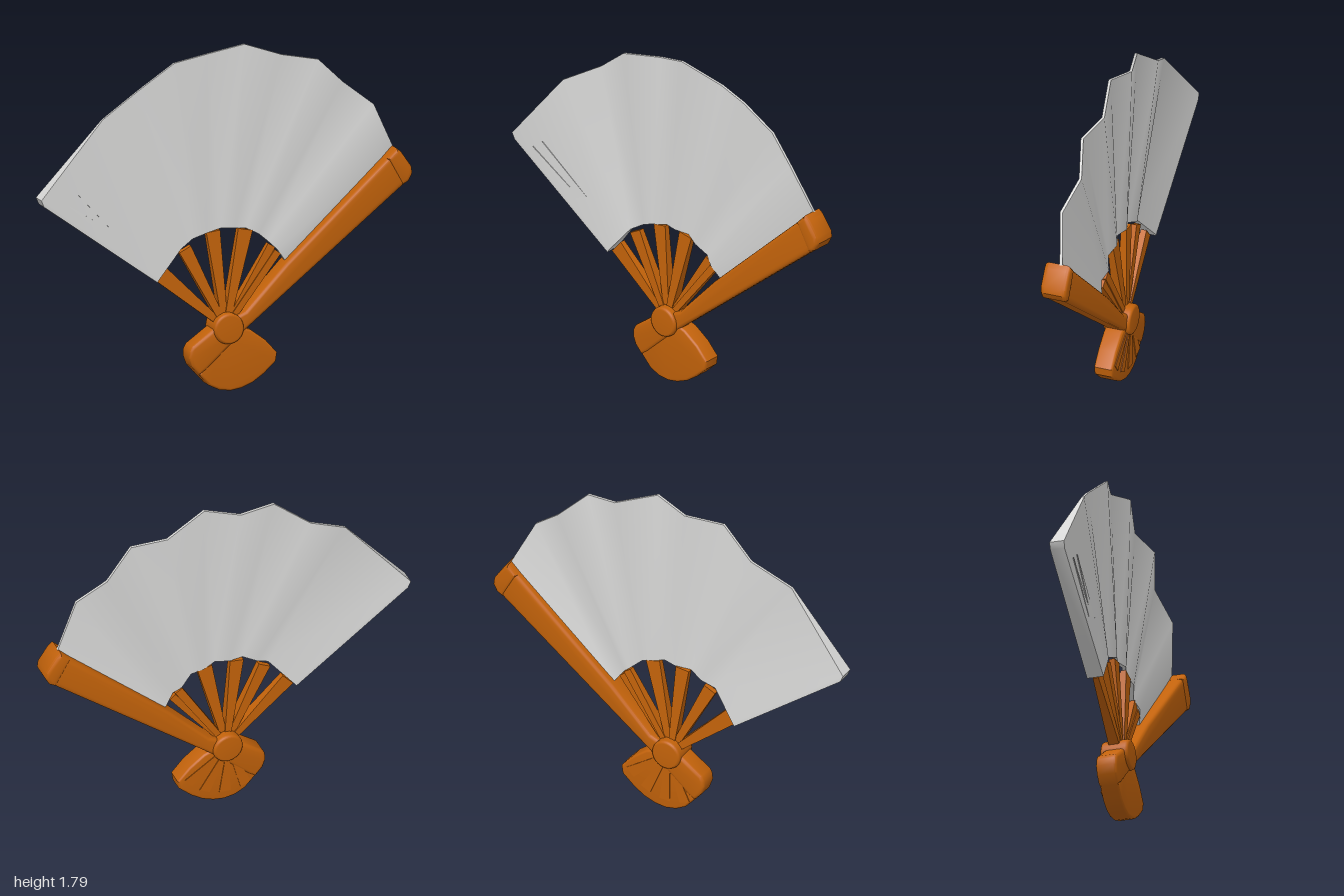
import * as THREE from 'three';
import { toCreasedNormals } from 'three/addons/utils/BufferGeometryUtils.js';

const wood = new THREE.MeshStandardMaterial({ color: 0xc2620a });
wood.name = 'orange brown wood';
const paper = new THREE.MeshStandardMaterial({ color: 0xd8d8d7, side: THREE.DoubleSide });
paper.name = 'pale grey paper';

const PIVOT_Y = 0.33;

function add(group, name, geometry, material) {
  const mesh = new THREE.Mesh(geometry, material);
  mesh.name = name;
  group.add(mesh);
  return mesh;
}

// Bevelled plate centred on z = 0, from an outline in the xy plane
function plate(points, half, bevel) {
  const shape = new THREE.Shape(points.map(([x, y]) => new THREE.Vector2(x, y)));
  const geometry = new THREE.ExtrudeGeometry(shape, {
    depth: 2 * (half - bevel), bevelEnabled: bevel > 0, bevelThickness: bevel,
    bevelSize: bevel, bevelOffset: -bevel, bevelSegments: 3,
  });
  return geometry.translate(0, 0, -(half - bevel));
}

// Tapered bar running outwards from the pivot at an angle in degrees
function blade(angle, r0, r1, w0, w1, t0, t1) {
  const geometry = new THREE.BoxGeometry(1, 1, 1).toNonIndexed();
  const p = geometry.attributes.position;
  for (let i = 0; i < p.count; i++) {
    const s = p.getX(i) + 0.5;
    p.setXYZ(i, r0 + (r1 - r0) * s, p.getY(i) * (w0 + (w1 - w0) * s), p.getZ(i) * (t0 + (t1 - t0) * s));
  }
  geometry.computeVertexNormals();
  return geometry.rotateZ(THREE.MathUtils.degToRad(angle)).translate(0, PIVOT_Y, 0);
}

// Closed sheet through the folds: [outer x, y, front z, back z, inner x, y, front z, back z]
function pleatedSheet(folds) {
  const rings = folds.map(([ox, oy, of, ob, ix, iy, nf, nb]) => [[ix, iy, nf], [ox, oy, of], [ox, oy, ob], [ix, iy, nb]]);
  const out = [];
  const quad = (a, b, c, d) => out.push(...a, ...b, ...c, ...a, ...c, ...d);
  for (let i = 0; i < rings.length - 1; i++) {
    for (let j = 0; j < 4; j++) {
      const k = (j + 1) % 4;
      quad(rings[i][j], rings[i + 1][j], rings[i + 1][k], rings[i][k]);
    }
  }
  const [a, b, c, d] = rings[0];
  quad(a, b, c, d);
  const [e, f, g, h] = rings[rings.length - 1];
  quad(h, g, f, e);
  const geometry = new THREE.BufferGeometry();
  geometry.setAttribute('position', new THREE.Float32BufferAttribute(out, 3));
  return toCreasedNormals(geometry, 0.8);
}

export function createModel() {
  const fan = new THREE.Group();
  fan.name = 'foldingFan';

  // Pleated leaf, ridges to the front and valleys to the back
  const ridge = [0.034, 0.02], valley = [-0.012, -0.026];
  const innerRidge = [0.026, 0.004], innerValley = [0.004, -0.02];
  add(fan, 'pleatedLeaf', pleatedSheet([
    [-0.985, 1.045, 0.03, -0.045, -0.375, 0.6, 0.042, -0.045],
    [-1.0, 1.08, 0.033, -0.045, -0.365, 0.615, 0.042, -0.045],
    [-0.67, 1.47, ...ridge, -0.24, 0.76, ...innerRidge],
    [-0.46, 1.59, ...valley, -0.17, 0.80, ...innerValley],
    [-0.28, 1.73, ...ridge, -0.10, 0.83, ...innerRidge],
    [-0.08, 1.75, ...valley, -0.02, 0.842, ...innerValley],
    [0.10, 1.795, ...ridge, 0.05, 0.842, ...innerRidge],
    [0.32, 1.71, ...valley, 0.12, 0.83, ...innerValley],
    [0.50, 1.68, ...ridge, 0.18, 0.80, ...innerRidge],
    [0.65, 1.54, ...valley, 0.24, 0.75, ...innerValley],
    [0.80, 1.42, ...ridge, 0.28, 0.71, ...innerRidge],
    [0.93, 1.16, ...valley, 0.34, 0.63, ...innerValley],
  ]), paper);

  // Two slim slivers sharing a base on the widest pleat
  const slivers = [
    [[-0.80, 1.09], [-0.575, 0.842], [-0.51, 0.866]],
    [[-0.86, 1.045], [-0.61, 0.83], [-0.56, 0.85]],
  ];
  for (const outline of slivers) {
    add(fan, 'leafSliver', plate(outline, 0.004, 0), paper).position.z = 0.036;
  }

  // Ribs between the pivot and the leaf: angle, length, outer width
  const ribs = [[138.5, 0.455, 0.085], [117, 0.475, 0.07], [97, 0.505, 0.075], [77.5, 0.51, 0.08], [57.5, 0.475, 0.045], [52, 0.465, 0.04]];
  ribs.forEach(([angle, length, width], i) => {
    const rib = add(fan, 'rib', blade(angle, 0.02, length, 0.03, width, 0.06, 0.03), wood);
    rib.position.z = i % 2 ? 0.004 : -0.002;
  });

  // Thick outer guard, running past the pivot into a rounded tail
  const guard = plate([
    [-0.19, 0.25], [-0.203, 0.225], [-0.206, 0.19], [-0.19, 0.145], [-0.15, 0.1], [-0.11, 0.125], [0.1, 0.315],
    [0.975, 1.01], [1.0, 1.05], [0.995, 1.085], [0.94, 1.165], [0.915, 1.18],
    [0.32, 0.64], [0.1, 0.41], [-0.07, 0.335],
  ], 0.056, 0.018);
  const p = guard.attributes.position;
  for (let i = 0; i < p.count; i++) p.setZ(i, p.getZ(i) * (1 + 0.14 * Math.max(0, p.getX(i))));
  add(fan, 'guard', toCreasedNormals(guard, 0.6), wood);

  // Heavier block at the end of the guard
  add(fan, 'guardTip', toCreasedNormals(plate([
    [0.865, 1.135], [0.945, 0.99], [0.98, 1.01], [1.0, 1.05], [0.995, 1.085], [0.94, 1.165], [0.915, 1.185],
  ], 0.07, 0.02), 0.6), wood);

  // Rounded foot formed by the gathered lower ends
  add(fan, 'foot', toCreasedNormals(plate([
    [-0.05, 0.32], [-0.15, 0.1], [-0.095, 0.04], [-0.04, 0.012], [0.02, 0.003], [0.08, 0.012], [0.14, 0.035],
    [0.2, 0.075], [0.265, 0.135], [0.272, 0.18], [0.21, 0.25], [0.13, 0.31], [0.05, 0.34],
  ], 0.05, 0.012), 0.6), wood);

  // Shallow fanned ridges on the back of the foot
  for (const angle of [-38, -62, -86, -110]) {
    add(fan, 'footRidge', blade(angle, 0.04, 0.275, 0.02, 0.06, 0.09, 0.09), wood).position.z = -0.009;
  }

  // Round pivot pin with softened rims through the whole stack
  const rim = [[0, -0.074], [0.066, -0.074], [0.076, -0.069], [0.08, -0.058], [0.08, 0.058], [0.076, 0.069], [0.066, 0.074], [0, 0.074]];
  const pin = new THREE.LatheGeometry(rim.map(([r, y]) => new THREE.Vector2(r, y)), 32).rotateX(Math.PI / 2);
  add(fan, 'pivotPin', pin, wood).position.set(0.005, PIVOT_Y, 0);

  return fan;
}
